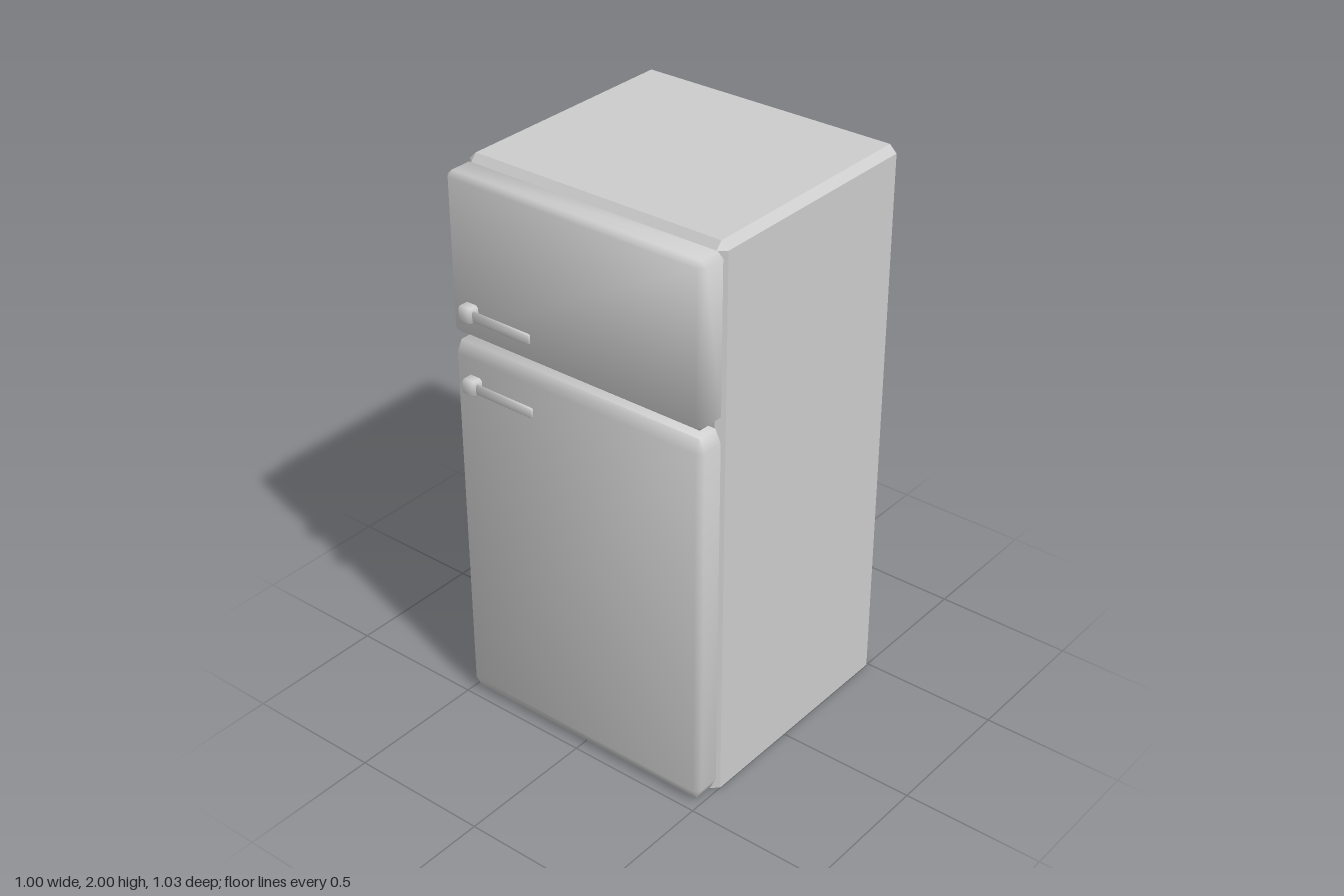
import * as THREE from 'three';
import { ConvexGeometry } from 'three/addons/geometries/ConvexGeometry.js';
import { toCreasedNormals } from 'three/addons/utils/BufferGeometryUtils.js';

const material = new THREE.MeshStandardMaterial({ color: 0xcccccc });

// Box with chamfered edges; the low side of flatAxis (0 x, 1 y, 2 z) keeps sharp edges.
function chamferBox(name, min, max, bevel, flatAxis = -1, smooth = false) {
  const points = [];
  for (let corner = 0; corner < 8; corner++) {
    const high = [0, 1, 2].map(a => (corner >> a) & 1);
    for (let full = 0; full < 3; full++) {
      const onFlat = flatAxis >= 0 && !high[flatAxis];
      if (onFlat && full === flatAxis) continue;
      points.push(new THREE.Vector3(...high.map((h, a) => {
        const inset = a === full || (onFlat && a === flatAxis) ? 0 : bevel[a];
        return h ? max[a] - inset : min[a] + inset;
      })));
    }
  }
  let geometry = new ConvexGeometry(points);
  if (smooth) geometry = toCreasedNormals(geometry, THREE.MathUtils.degToRad(70));
  const mesh = new THREE.Mesh(geometry, material);
  mesh.name = name;
  return mesh;
}

// Knob-shaped mount with a slim horizontal grip
function createHandle(name, y) {
  const handle = new THREE.Group();
  handle.name = name;
  handle.add(
    chamferBox('handleMount', [-0.435, y - 0.028, 0.468], [-0.38, y + 0.028, 0.513], [0.008, 0.008, 0.009], 2, true),
    chamferBox('handleGrip', [-0.385, y - 0.018, 0.49], [-0.146, y + 0.018, 0.502], [0.004, 0.005, 0.004], -1, true)
  );
  return handle;
}

export function createModel() {
  const fridge = new THREE.Group();
  fridge.name = 'refrigerator';

  // Cabinet, flat underneath
  fridge.add(chamferBox('cabinet', [-0.5, 0, -0.514], [0.5, 2, 0.376], [0.026, 0.025, 0.022], 1));

  // Doors, flat against the cabinet
  fridge.add(chamferBox('freezerDoor', [-0.5, 1.42, 0.378], [0.5, 1.977, 0.474], [0.02, 0.018, 0.02], 2, true));
  fridge.add(chamferBox('fridgeDoor', [-0.5, 0.01, 0.378], [0.5, 1.39, 0.474], [0.02, 0.044, 0.02], 2, true));

  // Handles
  fridge.add(createHandle('freezerHandle', 1.522), createHandle('fridgeHandle', 1.26));
  return fridge;
}
